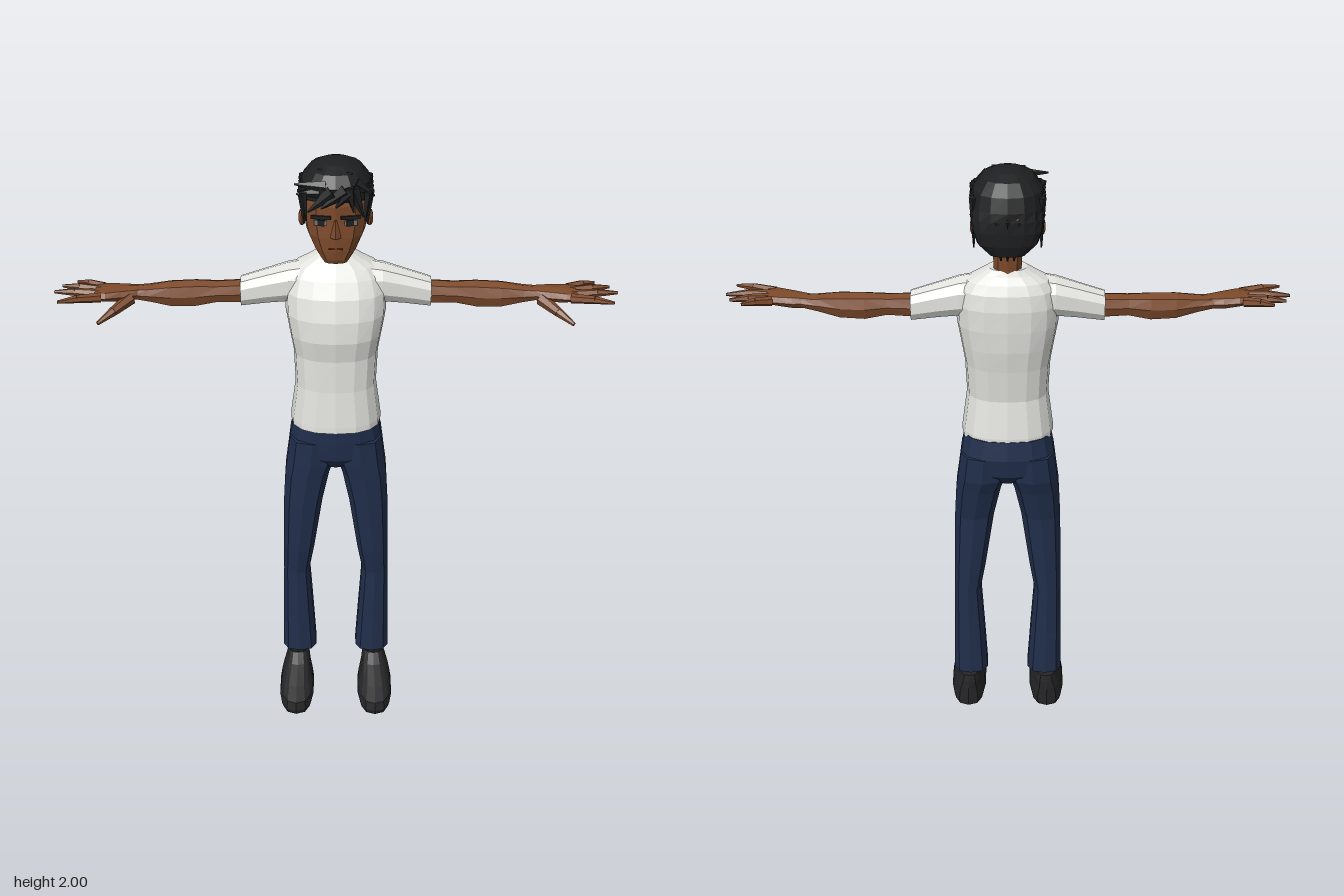
import * as THREE from 'three';

const mat = (name, color) => {
  const m = new THREE.MeshStandardMaterial({ color });
  m.name = name;
  return m;
};

// Flat facets: unshared corners with one normal per face
function faceted(geo) {
  const g = geo.index ? geo.toNonIndexed() : geo;
  g.computeVertexNormals();
  return g;
}

// Closed skin over rounded sections [height, x0, x1, z0, z1]
function loft(sections, sides = 12, power = 2.4) {
  const pos = [], idx = [], n = sections.length;
  const bend = v => Math.sign(v) * Math.abs(v) ** (2 / power);
  for (const [h, x0, x1, z0, z1] of sections)
    for (let j = 0; j < sides; j++) {
      const a = (j / sides) * Math.PI * 2;
      pos.push((x0 + x1) / 2 + bend(Math.sin(a)) * (x1 - x0) / 2, h,
        (z0 + z1) / 2 + bend(Math.cos(a)) * (z1 - z0) / 2);
    }
  for (let i = 0; i < n - 1; i++)
    for (let j = 0; j < sides; j++) {
      const k = (j + 1) % sides, a = i * sides + j, b = i * sides + k;
      idx.push(a, b, b + sides, a, b + sides, a + sides);
    }
  const top = (n - 1) * sides;
  for (let j = 1; j < sides - 1; j++) idx.push(0, j + 1, j, top, top + j, top + j + 1);
  const g = new THREE.BufferGeometry();
  g.setAttribute('position', new THREE.Float32BufferAttribute(pos, 3));
  g.setIndex(idx);
  return faceted(g);
}

// Symmetric sections [height, halfWidth, z0, z1]
const even = rows => rows.map(([h, w, z0, z1]) => [h, -w, w, z0, z1]);

// Loft running along x, sections [x, z0, z1, y0, y1]
function loftX(sections, sides, power) {
  const g = loft(sections, sides, power), p = g.attributes.position;
  for (let i = 0; i < p.count; i++) p.setXYZ(i, p.getY(i), p.getZ(i), p.getX(i));
  g.computeVertexNormals();
  return g;
}

// Tapered rod between two points
function rod(a, b, r0, r1, sides = 6, flat = 1) {
  const from = new THREE.Vector3(...a), to = new THREE.Vector3(...b);
  const dir = to.clone().sub(from);
  const g = new THREE.CylinderGeometry(r1, r0, dir.length(), sides);
  g.scale(1, 1, flat);
  g.applyQuaternion(new THREE.Quaternion().setFromUnitVectors(new THREE.Vector3(0, 1, 0), dir.normalize()));
  g.translate(...from.add(to).multiplyScalar(0.5).toArray());
  return faceted(g);
}

// Copy across x = 0 with the corner order turned round
function mirrored(geo) {
  const g = geo.clone(), p = g.attributes.position, s = geo.attributes.position;
  for (let i = 0; i < p.count; i++) {
    const k = i % 3 === 1 ? i + 1 : i % 3 === 2 ? i - 1 : i;
    p.setXYZ(i, -s.getX(k), s.getY(k), s.getZ(k));
  }
  g.computeVertexNormals();
  return g;
}

export function createModel() {
  const model = new THREE.Group();
  const skin = mat('skin', 0x7d4a2b), lip = mat('lip', 0x5c3320);
  const shirt = mat('shirt', 0xe2e2de), denim = mat('trousers', 0x212f4c);
  const hair = mat('hair', 0x1e1f20), shoe = mat('shoe', 0x262628), eyeGrey = mat('eyeGrey', 0x77706c);

  const add = (name, geo, m) => {
    const mesh = new THREE.Mesh(geo, m);
    mesh.name = name;
    model.add(mesh);
  };
  const pair = (name, geo, m) => {
    add(name + 'Left', geo, m);
    add(name + 'Right', mirrored(geo), m);
  };

  // Shirt
  add('shirtBody', loft(even([
    [1.105, 0.15, -0.163, 0.085], [1.125, 0.15, -0.163, 0.084], [1.25, 0.133, -0.143, 0.072],
    [1.36, 0.138, -0.155, 0.07], [1.43, 0.15, -0.166, 0.083], [1.5, 0.162, -0.171, 0.078],
    [1.57, 0.164, -0.172, 0.058], [1.62, 0.152, -0.164, 0.03], [1.65, 0.13, -0.15, 0.008],
    [1.672, 0.09, -0.13, -0.008], [1.69, 0.06, -0.122, -0.02]]), 16), shirt);
  pair('sleeve', loftX([
    [0.08, -0.125, 0, 1.5, 1.665], [0.15, -0.125, 0, 1.525, 1.652], [0.22, -0.115, -0.01, 1.518, 1.63],
    [0.305, -0.106, -0.018, 1.507, 1.603]], 10), shirt);

  // Arms and hands
  pair('arm', loftX([
    [0.28, -0.098, -0.025, 1.515, 1.594], [0.38, -0.092, -0.02, 1.52, 1.59],
    [0.45, -0.096, -0.016, 1.505, 1.594], [0.53, -0.09, -0.01, 1.508, 1.592],
    [0.6, -0.078, -0.01, 1.528, 1.582], [0.65, -0.072, -0.008, 1.54, 1.578]], 8), skin);
  pair('palm', loftX([
    [0.63, -0.07, -0.01, 1.538, 1.58], [0.68, -0.075, 0.012, 1.538, 1.583],
    [0.73, -0.076, 0.033, 1.546, 1.584], [0.765, -0.07, 0.035, 1.552, 1.58]], 8), skin);
  const fingers = [[0.745, -0.062, 0.835, -0.097], [0.75, -0.035, 0.878, -0.062],
    [0.75, -0.005, 0.897, -0.015], [0.745, 0.022, 0.875, 0.065]];
  fingers.forEach(([x0, z0, x1, z1], i) => {
    const mid = [x0 + (x1 - x0) * 0.55, 1.571, z0 + (z1 - z0) * 0.55];
    pair('finger' + (i + 1), rod([x0, 1.566, z0], mid, 0.016, 0.013), skin);
    pair('fingertip' + (i + 1), rod(mid, [x1, 1.569, z1], 0.013, 0.005), skin);
  });
  pair('thumbBase', rod([0.655, 1.55, -0.01], [0.705, 1.528, 0.045], 0.021, 0.015), skin);
  pair('thumbTip', rod([0.705, 1.528, 0.045], [0.75, 1.506, 0.088], 0.015, 0.006), skin);

  // Trousers
  add('trouserHips', loft(even([
    [0.945, 0.1, -0.13, 0.03], [0.985, 0.161, -0.165, 0.058], [1.05, 0.156, -0.175, 0.064],
    [1.115, 0.144, -0.165, 0.066]]), 14, 2.6), denim);
  pair('trouserLeg', loft([
    [0.155, 0.07, 0.193, -0.115, 0.02], [0.32, 0.08, 0.19, -0.115, 0.02], [0.5, 0.092, 0.186, -0.117, 0.02],
    [0.6, 0.074, 0.185, -0.12, 0.034], [0.8, 0.044, 0.181, -0.126, 0.05], [0.91, 0.02, 0.175, -0.15, 0.057],
    [0.96, 0.002, 0.168, -0.166, 0.06], [1.05, 0, 0.156, -0.17, 0.062]], 10, 2.8), denim);

  // Shoes and ankles
  pair('ankle', loft([[0.09, 0.108, 0.172, -0.075, 0], [0.18, 0.108, 0.172, -0.075, 0]], 8), shoe);
  pair('shoe', loft([
    [0, 0.085, 0.2, -0.104, 0.193], [0.02, 0.08, 0.205, -0.105, 0.2], [0.05, 0.084, 0.2, -0.105, 0.193],
    [0.072, 0.092, 0.193, -0.105, 0.13], [0.105, 0.098, 0.18, -0.104, 0.045],
    [0.13, 0.105, 0.172, -0.1, 0.005]], 14, 2.7), shoe);

  // Neck and head
  add('neck', loft(even([[1.63, 0.052, -0.13, -0.02], [1.69, 0.045, -0.125, -0.03],
    [1.76, 0.048, -0.13, -0.03]]), 10), skin);
  add('head', loft(even([
    [1.692, 0.038, -0.02, 0.046], [1.705, 0.048, -0.05, 0.053], [1.735, 0.07, -0.11, 0.058],
    [1.78, 0.092, -0.14, 0.06], [1.83, 0.102, -0.16, 0.058], [1.88, 0.103, -0.17, 0.06],
    [1.94, 0.09, -0.16, 0.05], [1.975, 0.05, -0.12, 0]]), 12, 2.6), skin);
  pair('ear', faceted(new THREE.SphereGeometry(1, 7, 5).scale(0.012, 0.028, 0.02).translate(0.106, 1.81, -0.05)), skin);

  // Face
  add('nose', rod([0, 1.782, 0.058], [0, 1.84, 0.056], 0.017, 0.004, 4), skin);
  add('mouth', new THREE.BoxGeometry(0.045, 0.004, 0.008).translate(0, 1.745, 0.056), lip);
  const plate = (w, h, x, y, z) => faceted(new THREE.BoxGeometry(w, h, 0.008).rotateY(0.17).translate(x, y, z));
  pair('eyebrow', plate(0.062, 0.01, 0.046, 1.847, 0.054), hair);
  pair('eyeWhite', plate(0.04, 0.016, 0.046, 1.829, 0.051), eyeGrey);
  pair('iris', plate(0.022, 0.018, 0.044, 1.829, 0.053), hair);

  // Hair mass
  add('hairCap', loft(even([
    [1.755, 0.055, -0.178, -0.115], [1.79, 0.092, -0.19, -0.1], [1.83, 0.108, -0.194, -0.07],
    [1.865, 0.113, -0.195, -0.02], [1.895, 0.114, -0.194, 0.064], [1.94, 0.107, -0.183, 0.07],
    [1.975, 0.08, -0.15, 0.045], [1.992, 0.045, -0.11, 0.005], [2, 0.015, -0.08, -0.03]]), 16), hair);

  // Strands down the back
  for (let i = 0; i < 11; i++) {
    const a = (i / 10 - 0.5) * 2.5, s = Math.sin(a), c = Math.cos(a);
    const mid = [s * 0.105, 1.87, -0.085 - c * 0.097];
    add('backStrandTop', rod([s * 0.06, 1.975, -0.07 - c * 0.062], mid, 0.009, 0.016, 5), hair);
    add('backStrand', rod(mid, [s * 0.08, 1.725 + 0.05 * Math.abs(s) + 0.012 * (i % 2), -0.075 - c * 0.085], 0.018, 0.003, 5), hair);
  }

  // Side locks, [z, tip z, tip height]
  for (const [z, tz, ty] of [[0.045, 0.055, 1.835], [0.015, 0.022, 1.815], [-0.02, -0.01, 1.83],
    [-0.055, -0.05, 1.805], [-0.09, -0.085, 1.8], [-0.12, -0.115, 1.765]])
    pair('sideLock', rod([0.1, 1.925, z], [0.103 - Math.max(0, tz) * 0.25, ty, tz], 0.021, 0.003, 5, 0.7), hair);

  // Fringe swept across the forehead, and loose tufts
  const locks = [
    [0.05, 1.94, 0.06, 0.085, 1.85, 0.058, 0.024], [0.04, 1.945, 0.062, 0.055, 1.868, 0.068, 0.022],
    [0.05, 1.935, 0.062, 0.0, 1.885, 0.072, 0.022], [0.03, 1.935, 0.062, -0.045, 1.88, 0.068, 0.024],
    [-0.01, 1.93, 0.062, -0.085, 1.865, 0.056, 0.024], [-0.03, 1.945, 0.055, -0.126, 1.95, 0.045, 0.02],
    [-0.05, 1.925, 0.05, -0.12, 1.92, 0.05, 0.018], [0.06, 1.95, 0.04, 0.118, 1.91, 0.035, 0.02],
    [-0.05, 1.97, 0.0, 0.05, 1.977, 0.03, 0.018]];
  for (const [x0, y0, z0, x1, y1, z1, r] of locks)
    add('fringeLock', rod([x0, y0, z0], [x1, y1, z1], r, 0.003, 5, 0.7), hair);

  return model;
}
